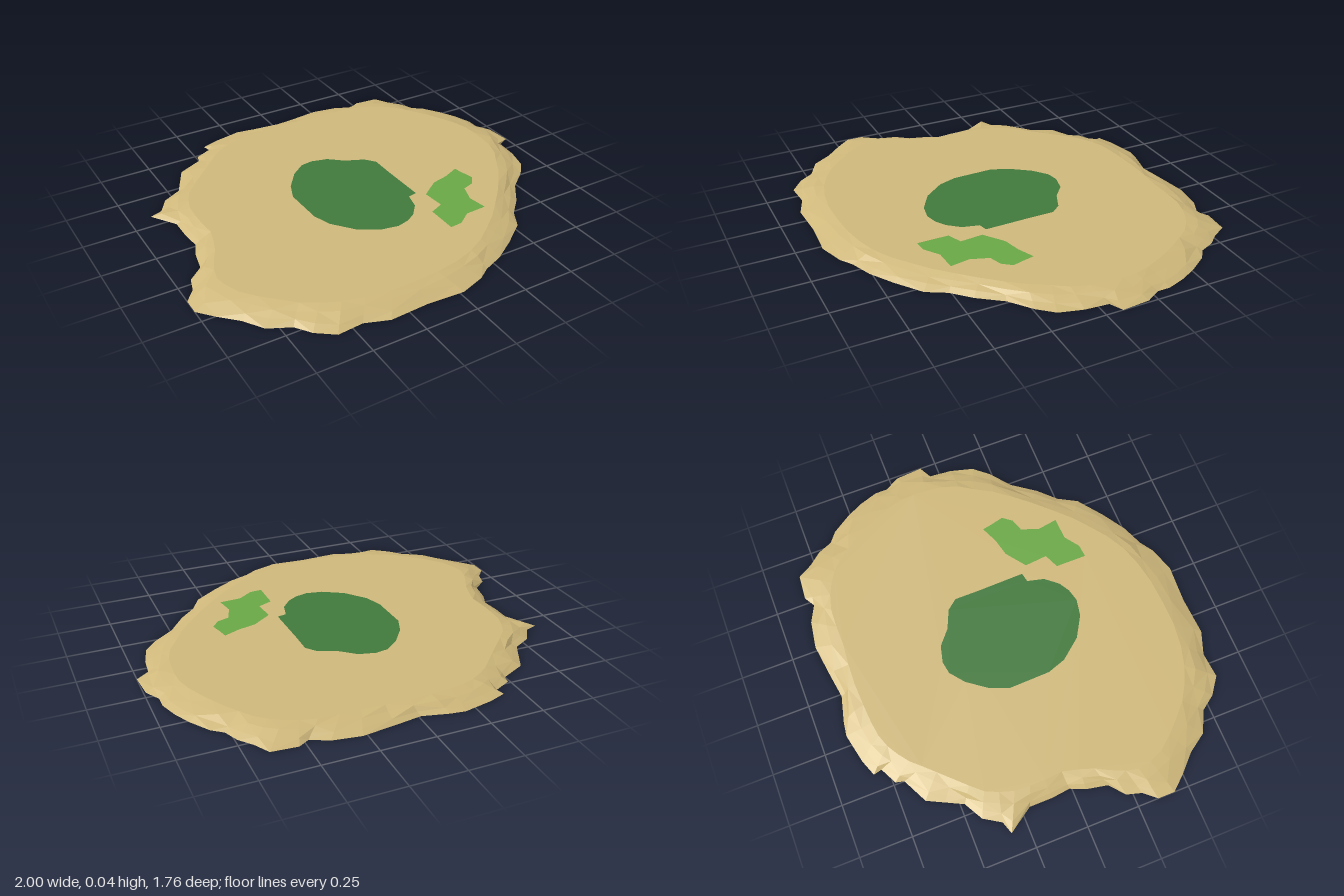
import * as THREE from 'three';

const TOP = 0.04;

// Ragged shoreline as x, z pairs, clockwise seen from above
const SHORE = [
  -0.20, -0.88, -0.13, -0.87, -0.01, -0.84, 0.12, -0.86, 0.27, -0.88, 0.40, -0.86, 0.48, -0.82, 0.53, -0.85,
  0.65, -0.84, 0.69, -0.77, 0.74, -0.71, 0.77, -0.64, 0.82, -0.60, 0.88, -0.51, 0.92, -0.43, 0.95, -0.34,
  0.95, -0.28, 0.99, -0.21, 1.00, -0.08, 0.94, -0.05, 0.93, 0.06, 0.90, 0.17, 0.84, 0.24, 0.74, 0.32,
  0.66, 0.43, 0.58, 0.51, 0.53, 0.60, 0.41, 0.69, 0.30, 0.76, 0.20, 0.80, 0.14, 0.84, 0.02, 0.88,
  -0.16, 0.87, -0.34, 0.88, -0.45, 0.84, -0.57, 0.85, -0.65, 0.79, -0.70, 0.72, -0.80, 0.67, -0.86, 0.58,
  -0.94, 0.50, -1.00, 0.43, -1.00, 0.35, -0.95, 0.29, -0.93, 0.22, -0.86, 0.16, -0.84, 0.06, -0.81, -0.01,
  -0.82, -0.10, -0.82, -0.21, -0.90, -0.33, -0.84, -0.35, -0.79, -0.43, -0.70, -0.48, -0.66, -0.56, -0.62, -0.64,
  -0.50, -0.70, -0.49, -0.74, -0.41, -0.78, -0.42, -0.82, -0.34, -0.85,
];

const GROVE = [
  -0.04, -0.34, 0.04, -0.32, 0.11, -0.26, 0.20, -0.22, 0.24, -0.17, 0.24, -0.05, 0.245, 0.18, 0.20, 0.19,
  0.18, 0.27, 0.13, 0.33, 0.08, 0.36, 0.02, 0.375, -0.06, 0.36, -0.16, 0.30, -0.24, 0.20, -0.27, 0.11,
  -0.275, -0.09, -0.24, -0.18, -0.17, -0.275, -0.10, -0.33,
];

const GRASS = [
  0.54, 0.09, 0.55, 0.14, 0.565, 0.20, 0.53, 0.245, 0.47, 0.265, 0.44, 0.35, 0.455, 0.445, 0.35, 0.45,
  0.28, 0.50, 0.22, 0.505, 0.22, 0.355, 0.29, 0.325, 0.28, 0.215, 0.375, 0.145, 0.46, 0.125,
];

// x, z pairs to points; z is negated so shapes can be laid flat
function toPoints(list) {
  const points = [];
  for (let i = 0; i < list.length; i += 2) points.push(new THREE.Vector2(list[i], -list[i + 1]));
  return points;
}

function seeded(seed) {
  return () => {
    seed = (seed * 16807) % 2147483647;
    return seed / 2147483647 - 0.5;
  };
}

function material(name, color) {
  const m = new THREE.MeshStandardMaterial({ color, flatShading: true, side: THREE.DoubleSide });
  m.name = name;
  return m;
}

// Level sheet cut from an outline
function flatPart(name, points, mat, holes = []) {
  const shape = new THREE.Shape(points);
  shape.holes = holes.map((h) => new THREE.Path(h));
  const geometry = new THREE.ShapeGeometry(shape).rotateX(-Math.PI / 2).translate(0, TOP, 0);
  const mesh = new THREE.Mesh(geometry, mat);
  mesh.name = name;
  return mesh;
}

export function createModel() {
  const group = new THREE.Group();
  group.name = 'island';
  const sand = material('sand', 0xcfb87b);
  const darkGreen = material('dark green', 0x41793b);
  const lightGreen = material('light green', 0x6aa846);

  const shore = toPoints(SHORE);
  const n = shore.length;
  const random = seeded(71);

  // Shoreline averaged over its neighbours, for calmer inner rings
  const calm = shore.map((_, i) => {
    const p = new THREE.Vector2();
    for (let k = -2; k <= 2; k++) p.addScaledVector(shore[(i + k + n) % n], 0.2);
    return p;
  });

  // Rings from the water line up to the plateau: scale, height, smoothing, jitter
  const rings = [
    [1, 0, 0, 0],
    [0.965, 0.015, 0.3, 0.014],
    [0.925, 0.030, 0.7, 0.018],
    [0.88, TOP, 1, 0],
  ].map(([scale, y, smooth, jitter]) => shore.map((p, i) => {
    const q = p.clone().lerp(calm[i], smooth).multiplyScalar(scale + random() * jitter);
    return new THREE.Vector3(q.x, y + random() * jitter * 0.4, -q.y);
  }));

  // Sloping, faceted beach
  const index = [];
  for (let r = 0; r < rings.length - 1; r++) {
    for (let j = 0; j < n; j++) {
      const a = r * n + j;
      const b = r * n + ((j + 1) % n);
      const c = a + n;
      const d = b + n;
      if ((j + r) % 2) index.push(a, c, b, b, c, d);
      else index.push(a, c, d, a, d, b);
    }
  }
  const beachGeometry = new THREE.BufferGeometry().setFromPoints(rings.flat());
  beachGeometry.setIndex(index);
  beachGeometry.computeVertexNormals();
  const beach = new THREE.Mesh(beachGeometry, sand);
  beach.name = 'beach';
  group.add(beach);

  // Level ground with the two planted areas set into it
  const edge = rings[rings.length - 1].map((v) => new THREE.Vector2(v.x, -v.z));
  const grove = toPoints(GROVE);
  const grass = toPoints(GRASS);
  group.add(flatPart('plateau', edge, sand, [grove, grass]));
  group.add(flatPart('grove', grove, darkGreen));
  group.add(flatPart('grassPatch', grass, lightGreen));
  return group;
}
